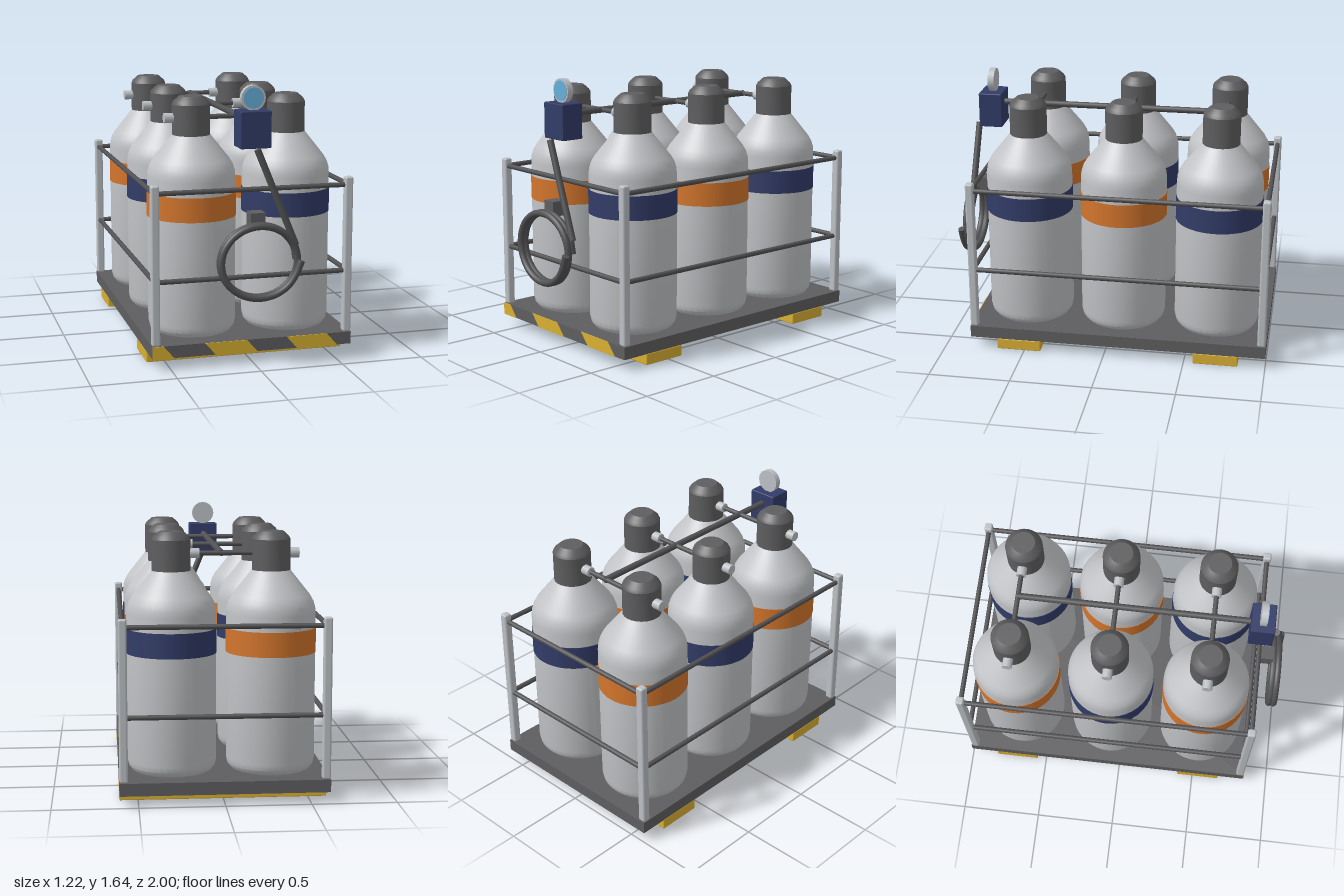
import * as THREE from 'three';
import { toCreasedNormals } from 'three/addons/utils/BufferGeometryUtils.js';
import { RoundedBoxGeometry } from 'three/addons/geometries/RoundedBoxGeometry.js';

function material(name, color) {
  const m = new THREE.MeshStandardMaterial({ color });
  m.name = name;
  return m;
}

export function createModel() {
  const mats = {
    bottle: material('bottle grey', 0xc2c4c7),
    dark: material('dark grey', 0x5e5e60),
    pipe: material('pipe grey', 0x525254),
    steel: material('light steel', 0xbcc0c4),
    yellow: material('safety yellow', 0xd9b032),
    orange: material('orange', 0xd3752c),
    navy: material('navy', 0x323c68),
    glass: material('gauge blue', 0x66b0dc),
  };
  const model = new THREE.Group();
  model.name = 'gasBottleRack';

  const add = (name, geo, mat, x = 0, y = 0, z = 0, parent = model) => {
    const mesh = new THREE.Mesh(geo, mat);
    mesh.name = name;
    mesh.position.set(x, y, z);
    parent.add(mesh);
    return mesh;
  };
  // Round bar between two points
  const bar = (name, a, b, r, mat, parent = model) => {
    const p = new THREE.Vector3(...a), q = new THREE.Vector3(...b);
    const mesh = add(name, new THREE.CylinderGeometry(r, r, p.distanceTo(q), 16), mat, 0, 0, 0, parent);
    mesh.position.copy(p).add(q).multiplyScalar(0.5);
    mesh.quaternion.setFromUnitVectors(new THREE.Vector3(0, 1, 0), q.sub(p).normalize());
    return mesh;
  };
  const lathe = (points) => toCreasedNormals(
    new THREE.LatheGeometry(points.map((p) => new THREE.Vector2(...p)), 40), 0.45);

  const midZ = -0.08;

  // Base plate and skids
  add('basePlate', new THREE.BoxGeometry(1.22, 0.075, 1.84), mats.dark, 0, 0.1075, midZ);
  for (const s of [-1, 1]) {
    add('skid', new RoundedBoxGeometry(1.22, 0.07, 0.275, 1, 0.006), mats.yellow, 0, 0.035, midZ + s * 0.615);
  }

  // Slanted warning stripes on the front edge: top-left, top-right, bottom-left, bottom-right
  const stripes = [[-0.61, -0.543, -0.61, -0.48], [-0.295, -0.04, -0.23, 0.025], [0.205, 0.457, 0.27, 0.522]];
  for (const [tl, tr, bl, br] of stripes) {
    const shape = new THREE.Shape();
    shape.moveTo(bl, 0.07);
    shape.lineTo(br, 0.07);
    shape.lineTo(tr, 0.145);
    shape.lineTo(tl, 0.145);
    shape.closePath();
    add('warningStripe', new THREE.ExtrudeGeometry(shape, { depth: 0.005, bevelEnabled: false }), mats.yellow, 0, 0, 0.84);
  }

  // Corner posts and guard rails
  const px = 0.585, zf = 0.815, zb = -0.972;
  for (const x of [-px, px]) {
    for (const z of [zf, zb]) {
      add('cornerPost', new RoundedBoxGeometry(0.05, 0.945, 0.05, 2, 0.012), mats.steel, x, 0.6175, z);
    }
  }
  for (const y of [0.522, 1.041]) {
    for (const z of [zf, zb]) bar('crossRail', [-px, y, z], [px, y, z], 0.015, mats.pipe);
    for (const x of [-px, px]) bar('sideRail', [x, y, zb], [x, y, zf], 0.015, mats.pipe);
  }

  // Gas bottles with checkerboard band colours
  const bodyGeo = lathe([[0, 0.145], [0.215, 0.145], [0.238, 0.156], [0.256, 0.18], [0.263, 0.215], [0.263, 1.08],
    [0.26, 1.115], [0.249, 1.15], [0.229, 1.185], [0.113, 1.33]]);
  const capGeo = lathe([[0.113, 1.325], [0.113, 1.51], [0.104, 1.528], [0.07, 1.558], [0, 1.558]]);
  const bandGeo = new THREE.CylinderGeometry(0.266, 0.266, 0.145, 40);
  const stubGeo = new THREE.CylinderGeometry(0.03, 0.03, 0.06, 16).rotateZ(Math.PI / 2);
  const pipeY = 1.43;
  for (let row = 0; row < 3; row++) {
    const z = 0.51 - row * 0.59;
    for (let col = 0; col < 2; col++) {
      const bottle = new THREE.Group();
      bottle.name = 'gasBottle';
      bottle.position.set(col ? 0.293 : -0.293, 0, z);
      model.add(bottle);
      add('bottleBody', bodyGeo, mats.bottle, 0, 0, 0, bottle);
      add('valveCap', capGeo, mats.dark, 0, 0, 0, bottle);
      add('colourBand', bandGeo, (row + col) % 2 ? mats.navy : mats.orange, 0, 0.922, 0, bottle);
      add('valveOutlet', stubGeo, mats.steel, -0.134, pipeY, 0, bottle);
    }
    bar('branchPipe', [-0.27, pipeY, z], [0.27, pipeY, z], 0.015, mats.pipe);
  }
  bar('manifoldPipe', [0, pipeY, -0.68], [0, pipeY, 0.75], 0.019, mats.pipe);

  // Regulator with gauge
  const regZ = 0.8;
  add('regulatorBox', new RoundedBoxGeometry(0.185, 0.215, 0.145, 1, 0.006), mats.navy, 0, 1.393, regZ);
  bar('gaugeCase', [0, 1.57, regZ - 0.022], [0, 1.57, regZ + 0.016], 0.073, mats.steel);
  bar('gaugeFace', [0, 1.57, regZ + 0.015], [0, 1.57, regZ + 0.02], 0.061, mats.glass);

  // Hose drop, two-turn coil and its hanger
  bar('hoseDrop', [0, 1.285, 0.897], [0.23, 0.72, 0.915], 0.02, mats.pipe);
  const coil = [];
  for (let i = 0; i <= 32; i++) {
    const t = i / 32, a = t * Math.PI * 4;
    const grow = i === 32 ? 0.015 : 0;
    coil.push(new THREE.Vector3((0.23 + grow) * Math.cos(a), 0.64 + 0.21 * Math.sin(a), 0.918 + 0.06 * t));
  }
  const coilCurve = new THREE.CatmullRomCurve3(coil);
  add('hoseCoil', new THREE.TubeGeometry(coilCurve, 120, 0.021, 12), mats.pipe);
  // Closed hose ends
  for (const t of [0, 1]) {
    const p = coilCurve.getPointAt(t), dir = coilCurve.getTangentAt(t).multiplyScalar(t ? 1 : -1);
    const end = add('hoseEnd', new THREE.CircleGeometry(0.021, 12), mats.pipe, p.x, p.y, p.z);
    end.quaternion.setFromUnitVectors(new THREE.Vector3(0, 0, 1), dir);
  }
  add('hoseHanger', new THREE.BoxGeometry(0.086, 0.09, 0.09), mats.dark, 0, 0.875, 0.873);

  return model;
}
